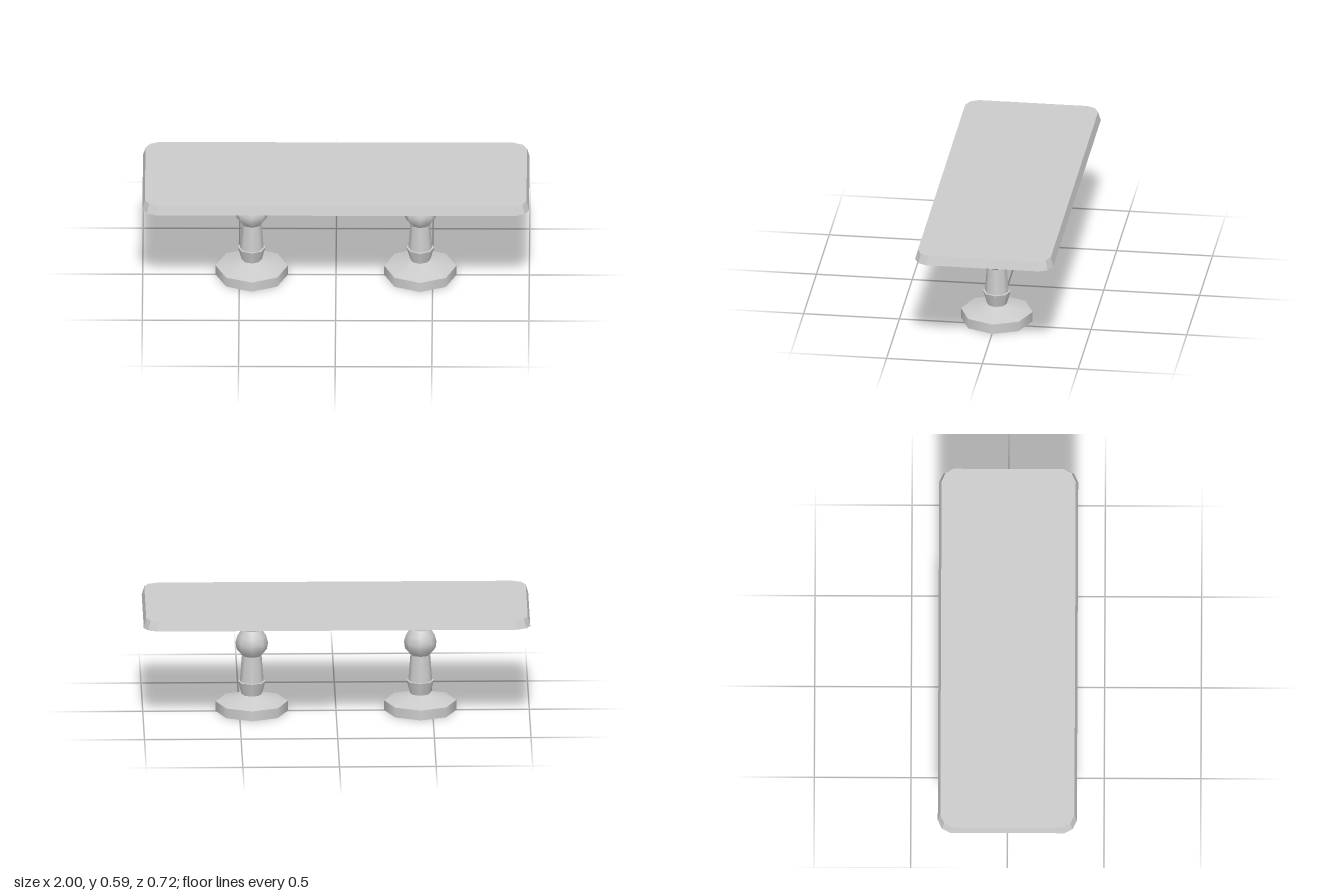
import * as THREE from 'three';
import { ConvexGeometry } from 'three/addons/geometries/ConvexGeometry.js';

const SIDES = 8;
const LEG_X = 0.436;

// Turned sections of a leg: [radius, height] from bottom to top
const SECTIONS = {
  footRim: [[0.187, 0], [0.187, 0.053]],
  footSlope: [[0.187, 0.053], [0.052, 0.092]],
  innerStub: [[0.05, 0.052], [0.052, 0.092]],
  collar: [[0.052, 0.092], [0.072, 0.162]],
  collarLedge: [[0.072, 0.162], [0.061, 0.163]],
  lowerColumn: [[0.062, 0.162], [0.051, 0.302]],
  ball: [[0.051, 0.302], [0.079, 0.335], [0.084, 0.37], [0.075, 0.407], [0.053, 0.441]],
  neck: [[0.053, 0.441], [0.062, 0.541]],
};

function createLeg(material) {
  const leg = new THREE.Group();
  for (const [name, profile] of Object.entries(SECTIONS)) {
    const points = profile.map(([r, y]) => new THREE.Vector2(r, y));
    const mesh = new THREE.Mesh(new THREE.LatheGeometry(points, SIDES), material);
    mesh.name = name;
    leg.add(mesh);
  }
  return leg;
}

// Slab with clipped corners whose rim narrows towards the top
function createTabletop(material) {
  const corner = [[1, 0.295], [0.978, 0.338], [0.93, 0.36]];
  const points = [];
  for (const [y, inset] of [[0.541, 0], [0.59, 0.013]]) {
    const sx = 1 - inset;
    const sz = (0.36 - inset) / 0.36;
    for (const [x, z] of corner) {
      for (const mx of [-1, 1]) {
        for (const mz of [-1, 1]) points.push(new THREE.Vector3(mx * x * sx, y, mz * z * sz));
      }
    }
  }
  const top = new THREE.Mesh(new ConvexGeometry(points), material);
  top.name = 'tabletop';
  return top;
}

export function createModel() {
  const material = new THREE.MeshStandardMaterial({ color: 0xcccccc, side: THREE.DoubleSide });
  const table = new THREE.Group();
  table.name = 'table';
  table.add(createTabletop(material));

  // Two identical pedestals
  for (const side of [-1, 1]) {
    const leg = createLeg(material);
    leg.name = side > 0 ? 'leftLeg' : 'rightLeg';
    leg.position.x = side * LEG_X;
    table.add(leg);
  }
  return table;
}
